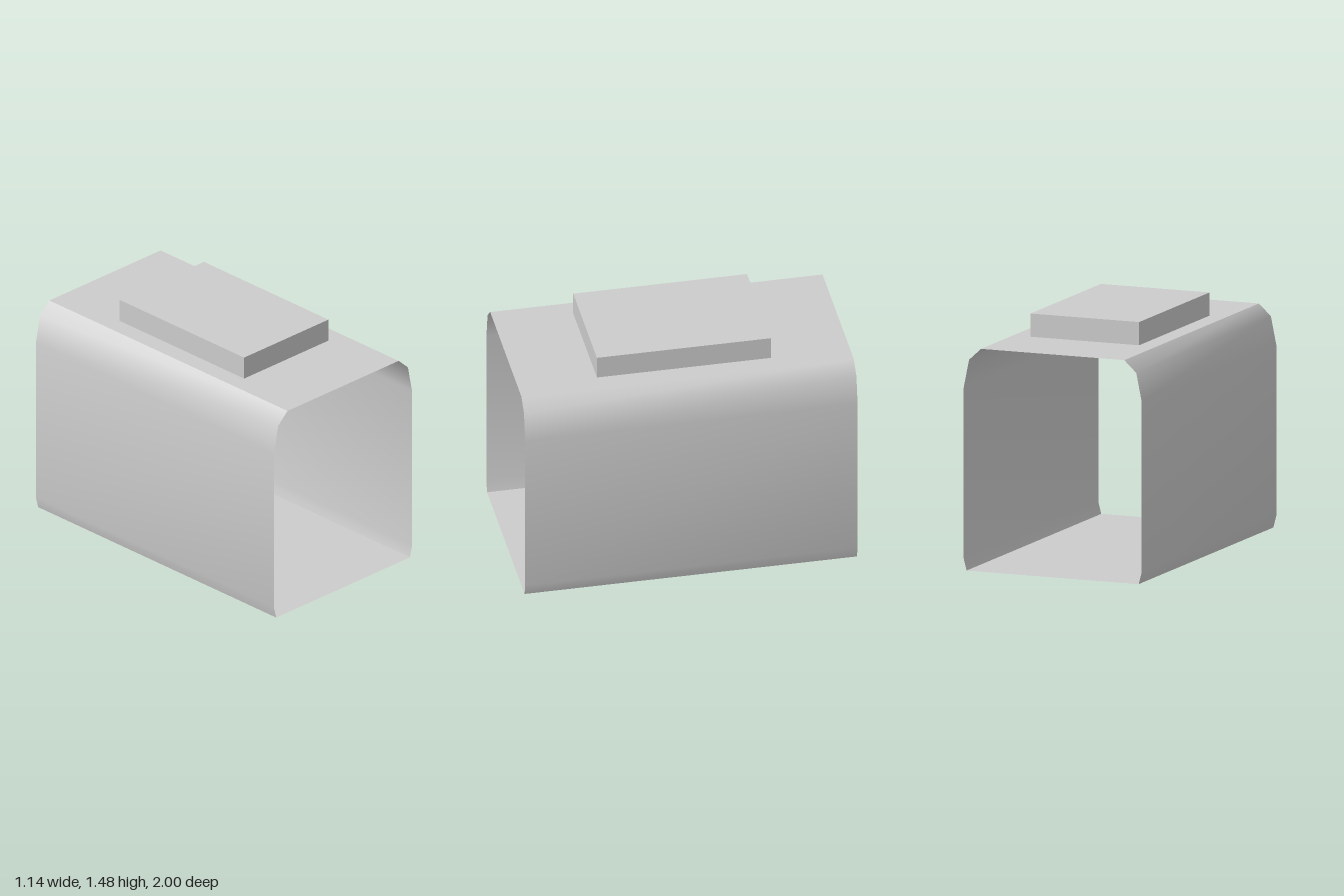
import * as THREE from 'three';
import { toCreasedNormals } from 'three/addons/utils/BufferGeometryUtils.js';

const grey = new THREE.MeshStandardMaterial({ color: 0xcccccc, side: THREE.DoubleSide });
grey.name = 'grey';

// Sweep a closed counter-clockwise profile along z, leaving both ends open
function openTube(profile, halfLength) {
  const positions = [];
  profile.forEach(([px, py], i) => {
    const [qx, qy] = profile[(i + 1) % profile.length];
    const pf = [px, py, halfLength], pb = [px, py, -halfLength];
    const qf = [qx, qy, halfLength], qb = [qx, qy, -halfLength];
    positions.push(...pf, ...pb, ...qb, ...pf, ...qb, ...qf);
  });
  const geometry = new THREE.BufferGeometry();
  geometry.setAttribute('position', new THREE.Float32BufferAttribute(positions, 3));
  return toCreasedNormals(geometry, 0.69);
}

export function createModel() {
  const model = new THREE.Group();
  model.name = 'openHousing';

  // Thin shell: flat floor and roof, upright walls, bevelled shoulders
  const roofY = 1.336;
  const rightHalf = [[0.553, 0], [0.572, 0.073], [0.572, 1.093], [0.537, 1.265], [0.46, roofY]];
  const leftHalf = rightHalf.map(([x, y]) => [-x, y]).reverse();
  const shell = new THREE.Mesh(openTube([...rightHalf, ...leftHalf], 1), grey);
  shell.name = 'shell';
  model.add(shell);

  // Raised block on the roof
  const height = 0.139;
  const block = new THREE.Mesh(new THREE.BoxGeometry(0.698, height, 1.046), grey);
  block.position.y = roofY + height / 2;
  block.name = 'roofBlock';
  model.add(block);

  return model;
}
